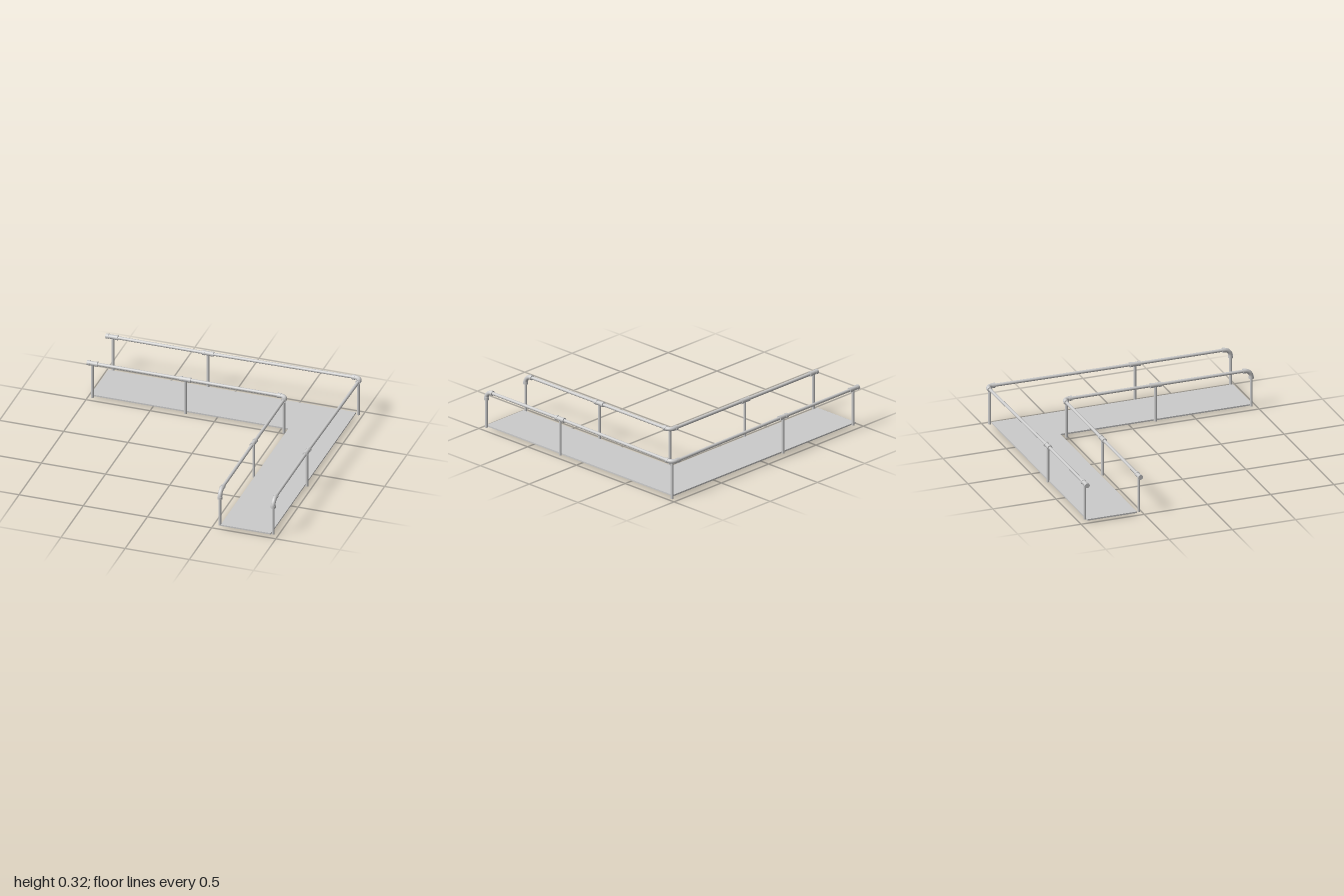
import * as THREE from 'three';

const V = (x, y, z) => new THREE.Vector3(x, y, z);
const RAIL_Y = 0.303, RAIL_R = 0.012, POST_R = 0.0105, FIT_R = 0.0165, COLLAR_R = 0.019;

export function createModel() {
  const model = new THREE.Group();
  const mat = new THREE.MeshStandardMaterial({ color: 0xcccccc });
  const up = V(0, 1, 0);

  const add = (parent, name, geo) => {
    const mesh = new THREE.Mesh(geo, mat);
    mesh.name = name;
    parent.add(mesh);
    return mesh;
  };

  // Straight round bar between two points
  const bar = (parent, name, a, b, r) => {
    const mesh = add(parent, name, new THREE.CylinderGeometry(r, r, a.distanceTo(b), 20));
    mesh.position.copy(a).lerp(b, 0.5);
    mesh.quaternion.setFromUnitVectors(up, b.clone().sub(a).normalize());
  };

  // Sleeve fitting: slim body with a raised collar at both ends
  const sleeve = (parent, a, b) => {
    const dir = b.clone().sub(a).normalize().multiplyScalar(0.022);
    bar(parent, 'sleeveBody', a, b, FIT_R);
    bar(parent, 'sleeveCollar', a, a.clone().add(dir), COLLAR_R);
    bar(parent, 'sleeveCollar', b, b.clone().sub(dir), COLLAR_R);
  };

  // Elbow fitting from a to b, rounded about the corner point
  const elbow = (parent, a, corner, b, bend) => {
    const toA = a.clone().sub(corner).normalize(), toB = b.clone().sub(corner).normalize();
    const s = corner.clone().addScaledVector(toA, bend), e = corner.clone().addScaledVector(toB, bend);
    const k = bend * 0.448;
    const arc = new THREE.CubicBezierCurve3(s, corner.clone().addScaledVector(toA, k),
      corner.clone().addScaledVector(toB, k), e);
    add(parent, 'elbowBend', new THREE.TubeGeometry(arc, 16, FIT_R, 20));
    for (const [end, start, dir] of [[a, s, toA], [b, e, toB]]) {
      bar(parent, 'elbowArm', start, end, FIT_R);
      bar(parent, 'elbowCollar', end, end.clone().addScaledVector(dir, -0.022), COLLAR_R);
    }
  };

  // L-shaped walkway deck
  const outline = [[-0.98, -0.94], [0.95, -0.94], [0.95, 0.97], [0.56, 0.97], [0.56, -0.55], [-0.98, -0.55]];
  const shape = new THREE.Shape(outline.map(([x, z]) => new THREE.Vector2(x, -z)));
  const deck = add(model, 'deck', new THREE.ExtrudeGeometry(shape, { depth: 0.011, bevelEnabled: false }));
  deck.rotation.x = -Math.PI / 2;
  deck.position.y = 0.014;

  // One handrail: along x, round the corner, along z, then down at the front
  const handrail = (name, d) => {
    const g = new THREE.Group();
    g.name = name;
    model.add(g);
    const start = V(-1, RAIL_Y, d.z), middle = V(d.midX, RAIL_Y, d.z);
    const corner = V(d.cornerX, RAIL_Y, d.cornerZ);
    const side = V(d.x, RAIL_Y, 0.2), front = V(d.x, RAIL_Y, 0.957);

    bar(g, 'backRail', start, middle, RAIL_R);
    bar(g, 'backRail', middle, corner.clone().add(V(-0.05, 0, 0)), RAIL_R);
    bar(g, 'sideRail', corner.clone().add(V(0, 0, 0.05)), side, RAIL_R);
    bar(g, 'sideRail', side, V(d.x, RAIL_Y, 0.9), RAIL_R);

    sleeve(g, start, V(d.sleeveEnd, RAIL_Y, d.z));
    sleeve(g, V(d.midX - 0.043, RAIL_Y, d.z), V(d.midX + 0.043, RAIL_Y, d.z));
    sleeve(g, V(d.x, RAIL_Y, 0.157), V(d.x, RAIL_Y, 0.243));
    elbow(g, corner.clone().add(V(-0.065, 0, 0)), corner, corner.clone().add(V(0, 0, 0.065)), 0.04);
    elbow(g, V(d.x, RAIL_Y, 0.89), front, V(d.x, 0.235, 0.957), 0.055);

    // Posts: x, z, bottom, top
    const posts = [
      [d.endX, d.z, 0.014, RAIL_Y], [d.midX, d.z, 0.014, RAIL_Y],
      [d.postX, d.postZ, 0.003, RAIL_Y], [d.x, 0.2, 0.014, RAIL_Y], [d.x, 0.957, 0.014, 0.25],
    ];
    for (const [x, z, y0, y1] of posts) bar(g, 'post', V(x, y0, z), V(x, y1, z), POST_R);
  };

  handrail('outerHandrail', {
    z: -0.949, x: 0.965, midX: -0.205, endX: -0.945, sleeveEnd: -0.905,
    cornerX: 0.979, cornerZ: -0.966, postX: 0.966, postZ: -0.948,
  });
  handrail('innerHandrail', {
    z: -0.528, x: 0.55, midX: -0.235, endX: -0.96, sleeveEnd: -0.918,
    cornerX: 0.55, cornerZ: -0.528, postX: 0.538, postZ: -0.51,
  });

  return model;
}
